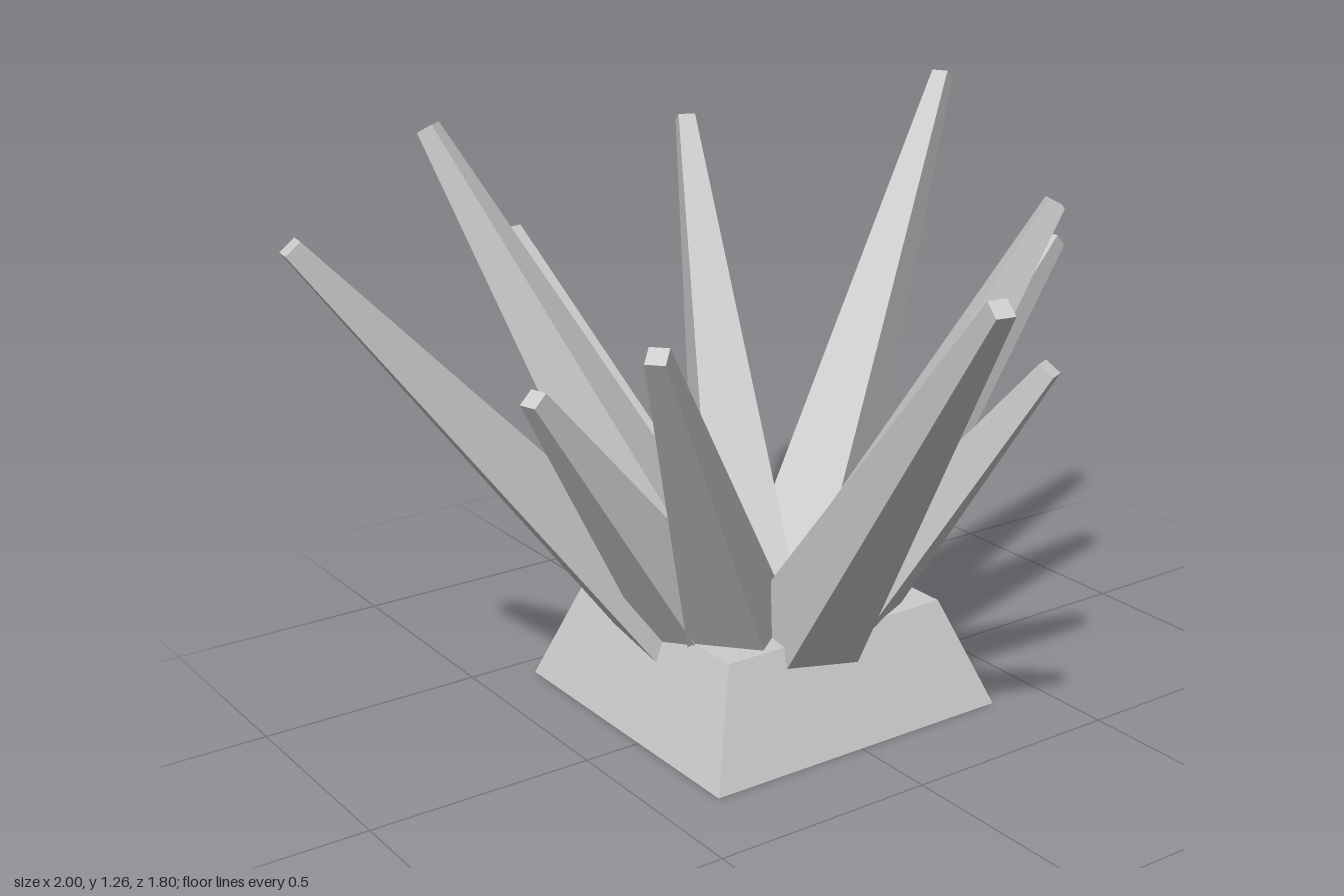
import * as THREE from 'three';

const stone = new THREE.MeshStandardMaterial({ color: 0xcccccc, flatShading: true });
stone.name = 'paleStone';

// Square tapered bar along +y, sized by its half widths at top and bottom
function taperedBar(halfTop, halfBottom, length) {
  return new THREE.CylinderGeometry(halfTop * Math.SQRT2, halfBottom * Math.SQRT2, length, 4)
    .rotateY(Math.PI / 4)
    .toNonIndexed();
}

// Centres of the spike tips
const TIPS = [
  [-0.145, 0.92, -0.88],
  [0.255, 1.17, -0.725],
  [0.85, 1.245, -0.485],
  [0.985, 0.868, -0.21],
  [0.505, 1.115, 0.29],
  [0.285, 0.85, 0.525],
  [-0.172, 1.13, 0.88],
  [-0.585, 1.01, 0.435],
  [-0.655, 0.857, 0.107],
  [-0.985, 1.138, -0.21],
  [-0.467, 1.24, -0.64],
];

export function createModel() {
  const model = new THREE.Group();
  model.name = 'crystalCluster';

  // Sloped square base
  const base = new THREE.Mesh(taperedBar(0.28, 0.37, 0.24), stone);
  base.name = 'base';
  base.position.set(0, 0.12, -0.07);
  model.add(base);

  // Spikes fan out from one point below the base, starting inside it
  const origin = new THREE.Vector3(0, -0.05, -0.07);
  const spikes = new THREE.Group();
  spikes.name = 'spikes';
  TIPS.forEach((p, i) => {
    const tip = new THREE.Vector3(...p);
    const start = origin.clone().lerp(tip, 0.15);
    const geometry = taperedBar(0.02, 0.098, start.distanceTo(tip)).rotateX(Math.PI / 2);
    const spike = new THREE.Mesh(geometry, stone);
    spike.name = `spike${i + 1}`;
    spike.position.copy(start).lerp(tip, 0.5);
    spike.lookAt(tip);
    spikes.add(spike);
  });
  model.add(spikes);
  return model;
}
